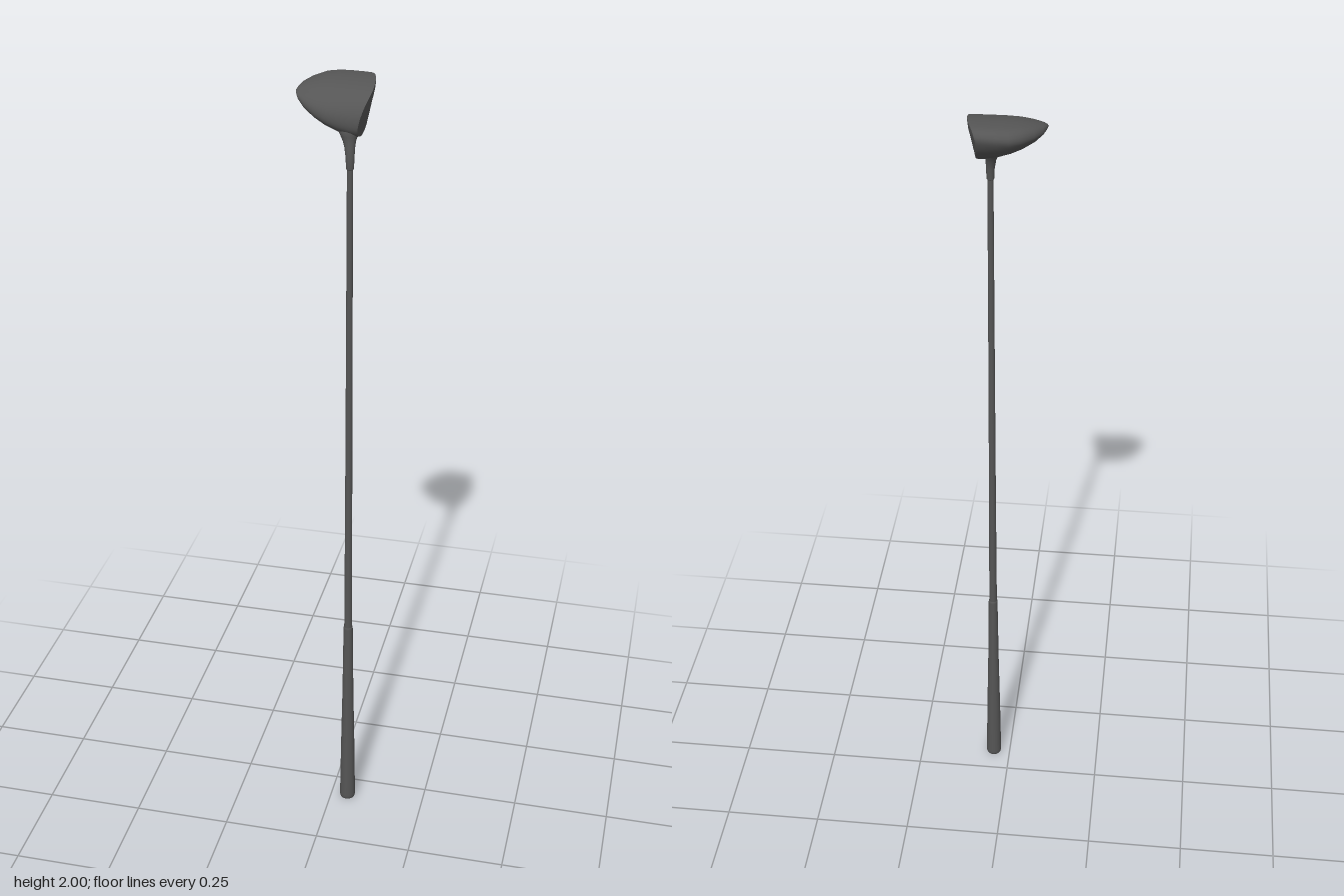
import * as THREE from 'three';

const AXIS_X = 0.045, AXIS_Z = 0.068; // shaft axis
const CZ = 0.02, CY = 1.972, BACK_X = -0.09; // rearmost point of the head
const SEGMENTS = 56;

// Builds a smooth surface from closed rings of equal length.
function skin(rings) {
  const n = rings[0].length, pos = [], index = [];
  rings.forEach(ring => ring.forEach(p => pos.push(...p)));
  for (let i = 0; i < rings.length - 1; i++) {
    for (let j = 0; j < n; j++) {
      const a = i * n + j, b = i * n + (j + 1) % n, c = b + n, d = a + n;
      index.push(a, d, b, d, c, b);
    }
  }
  const geo = new THREE.BufferGeometry();
  geo.setAttribute('position', new THREE.Float32BufferAttribute(pos, 3));
  geo.setIndex(index);
  geo.computeVertexNormals();
  return geo;
}

// Surface of revolution about the shaft axis, from [radius, y] pairs.
function turned(profile, sides = 24) {
  const geo = new THREE.LatheGeometry(profile.map(([r, y]) => new THREE.Vector2(r, y)), sides);
  return geo.translate(AXIS_X, 0, AXIS_Z);
}

// Bulged and lofted striking face: x for a given z and y.
const faceX = (z, y) => 0.088 - 2.3 * (z - CZ) ** 2 - 0.22 * Math.max(0, 1.985 - y);

export function createModel() {
  const group = new THREE.Group();
  const material = new THREE.MeshStandardMaterial({ color: 0x555555 });
  const add = (name, geo) => {
    const mesh = new THREE.Mesh(geo, material);
    mesh.name = name;
    group.add(mesh);
  };

  // Egg-shaped outline of the face, as (z, y)
  const outline = new THREE.CatmullRomCurve3([
    [0.074, 1.9], [0.078, 1.93], [0.065, 1.96], [0.035, 1.985],
    [-0.005, 1.997], [-0.045, 1.9995], [-0.073, 1.995], [-0.085, 1.981],
    [-0.074, 1.95], [-0.045, 1.92], [0, 1.895], [0.045, 1.883],
  ].map(([z, y]) => new THREE.Vector3(0, y, z)), true).getSpacedPoints(SEGMENTS).slice(0, SEGMENTS);

  // Head shell: outline scaled from the back to the face
  // [distance, width scale, sole scale, crown scale]
  const stations = [
    [0, 0, 0, 0], [0.02, 0.2, 0.22, 0.06], [0.06, 0.4, 0.42, 0.18], [0.17, 0.66, 0.7, 0.38],
    [0.34, 0.9, 0.95, 0.59], [0.51, 1.02, 1, 0.76], [0.69, 1.03, 1, 0.9],
    [0.87, 1.02, 0.98, 0.98], [0.97, 1.01, 0.95, 1], [1, 0.99, 0.92, 0.99],
  ];
  const ringAt = ([u, w, sole, crown]) => outline.map(p => {
    const z = CZ + (p.z - CZ) * w;
    const y = CY + (p.y - CY) * (p.y > CY ? sole : crown);
    return [THREE.MathUtils.lerp(BACK_X, faceX(p.z, p.y), u), y, z];
  });
  const shell = stations.map(ringAt);
  add('clubHead', skin(shell));

  // Striking face: concentric rings closing the shell
  const rim = shell[shell.length - 1];
  const FY = 1.945, FZ = 0.005;
  const faceRings = [1, 0.85, 0.6, 0.3, 0].map(s => rim.map(([x, y, z], j) => {
    if (s === 1) return [x, y, z];
    const p = outline[j];
    const py = FY + (p.y - FY) * s, pz = FZ + (p.z - FZ) * s;
    return [faceX(pz, py), FY + (y - FY) * s, FZ + (z - FZ) * s];
  }));
  add('strikingFace', skin(faceRings));

  // Hosel: flared neck leaning into the head
  const hosel = turned([
    [0.007, 1.812], [0.009, 1.815], [0.01, 1.84], [0.012, 1.862], [0.015, 1.876],
    [0.02, 1.888], [0.026, 1.9], [0.026, 1.915], [0.016, 1.93], [0, 1.935],
  ]);
  const pos = hosel.attributes.position;
  for (let i = 0; i < pos.count; i++) {
    const d = Math.max(0, pos.getY(i) - 1.85);
    pos.setX(i, pos.getX(i) - 0.15 * d);
    pos.setZ(i, pos.getZ(i) - 0.4 * d);
  }
  hosel.computeVertexNormals();
  add('hosel', hosel);

  // Shaft, tapering towards the head
  add('shaft', turned([[0.0105, 0.5], [0.009, 0.9], [0.008, 1.3], [0.007, 1.83]]));

  // Grip, thickening to a rounded butt
  add('grip', turned([
    [0, 0], [0.016, 0], [0.019, 0.002], [0.0205, 0.007], [0.0205, 0.015],
    [0.018, 0.18], [0.0145, 0.36], [0.012, 0.56], [0.0115, 0.565], [0.0095, 0.567],
  ]));

  return group;
}
